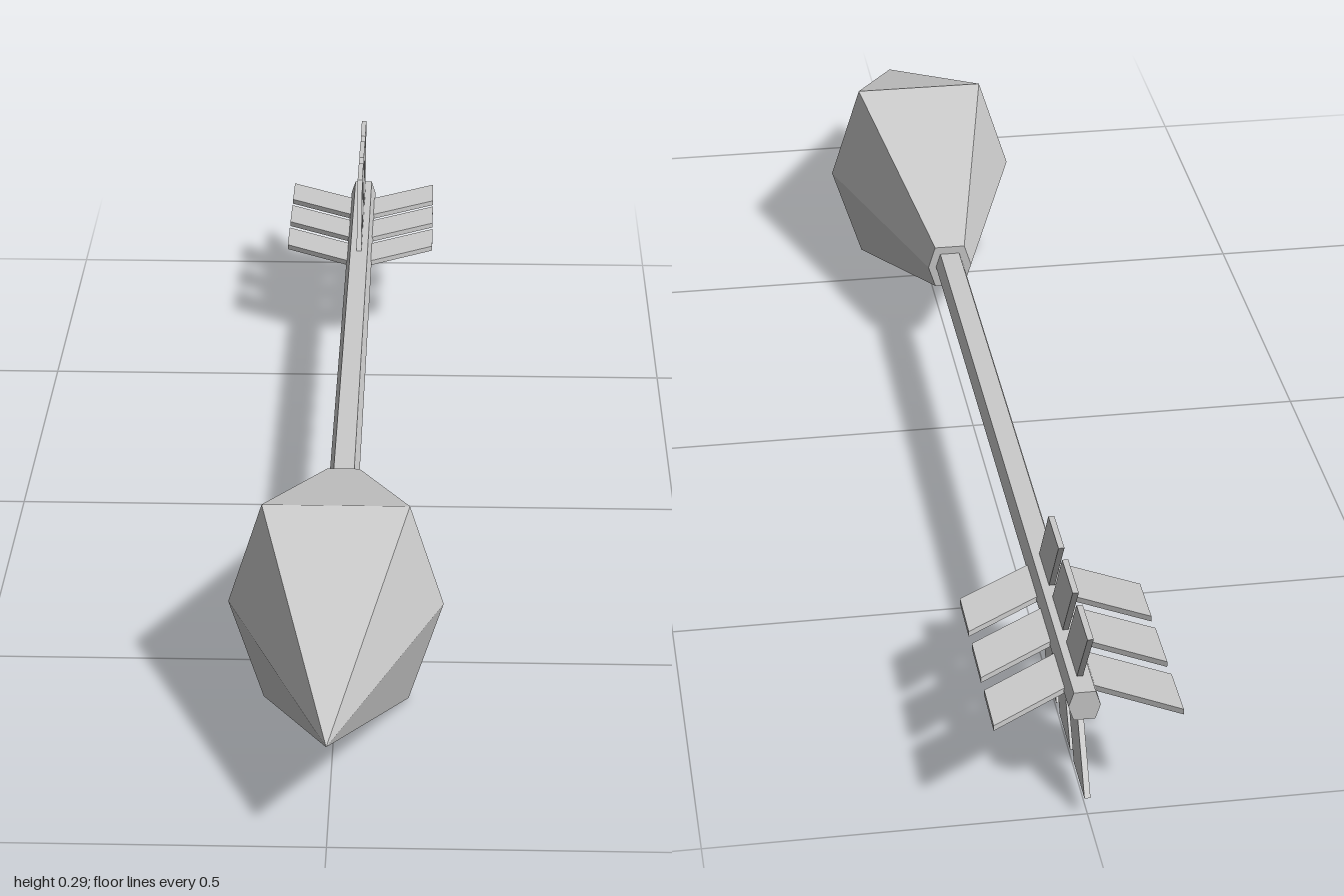
import * as THREE from 'three';

const AXIS_Y = 0.147;
const HEX = [[1, 0], [0.68, 1], [-0.68, 1], [-1, 0], [-0.68, -1], [0.68, -1]];

// Six-sided solid along z; stations are [z, radius] from back to front.
function hexLoft(stations) {
  const pos = [];
  const rings = stations.map(([z, r]) => HEX.map(([x, y]) => [x * r, y * r, z]));
  const tri = (...corners) => corners.forEach((c) => pos.push(...c));
  for (let s = 0; s < rings.length - 1; s++) {
    for (let i = 0; i < 6; i++) {
      const j = (i + 1) % 6;
      const a = rings[s], b = rings[s + 1];
      tri(a[i], a[j], b[j]);
      if (stations[s + 1][1] > 0) tri(a[i], b[j], b[i]);
    }
  }
  // End caps
  const back = rings[0], front = rings[rings.length - 1];
  for (let i = 1; i < 5; i++) {
    tri(back[0], back[i + 1], back[i]);
    if (stations[stations.length - 1][1] > 0) tri(front[0], front[i], front[i + 1]);
  }
  const geo = new THREE.BufferGeometry();
  geo.setAttribute('position', new THREE.Float32BufferAttribute(pos, 3));
  geo.computeVertexNormals();
  return geo;
}

// Swept-back slanted plate lying in the xz plane, pointing to +x.
function barbGeometry() {
  const thickness = 0.008;
  const shape = new THREE.Shape([
    new THREE.Vector2(0.01, 0.627),
    new THREE.Vector2(0.123, 0.703),
    new THREE.Vector2(0.123, 0.783),
    new THREE.Vector2(0.01, 0.707),
  ]);
  const geo = new THREE.ExtrudeGeometry(shape, { depth: thickness, bevelEnabled: false });
  geo.translate(0, 0, -thickness / 2);
  geo.rotateX(-Math.PI / 2);
  return geo;
}

export function createModel() {
  const model = new THREE.Group();
  model.name = 'arrow';
  const material = new THREE.MeshStandardMaterial({ color: 0xcccccc, flatShading: true });
  const add = (parent, geometry, name) => {
    const mesh = new THREE.Mesh(geometry, material);
    mesh.name = name;
    parent.add(mesh);
    return mesh;
  };

  // Faceted head and slim shaft
  add(model, hexLoft([[0.25, 0.034], [0.605, 0.147], [1, 0]]), 'arrowhead');
  add(model, hexLoft([[-0.967, 0.021], [0.27, 0.022]]), 'shaft');

  // Four vanes of three barbs each
  const barb = barbGeometry();
  ['left', 'top', 'right', 'bottom'].forEach((side, k) => {
    const vane = new THREE.Group();
    vane.name = `${side}Vane`;
    vane.rotation.z = k * Math.PI / 2;
    for (let i = 0; i < 3; i++) add(vane, barb, `${side}Barb${i + 1}`).position.z = -0.108 * i;
    model.add(vane);
  });

  model.children.forEach((part) => { part.position.y = AXIS_Y; });
  return model;
}
